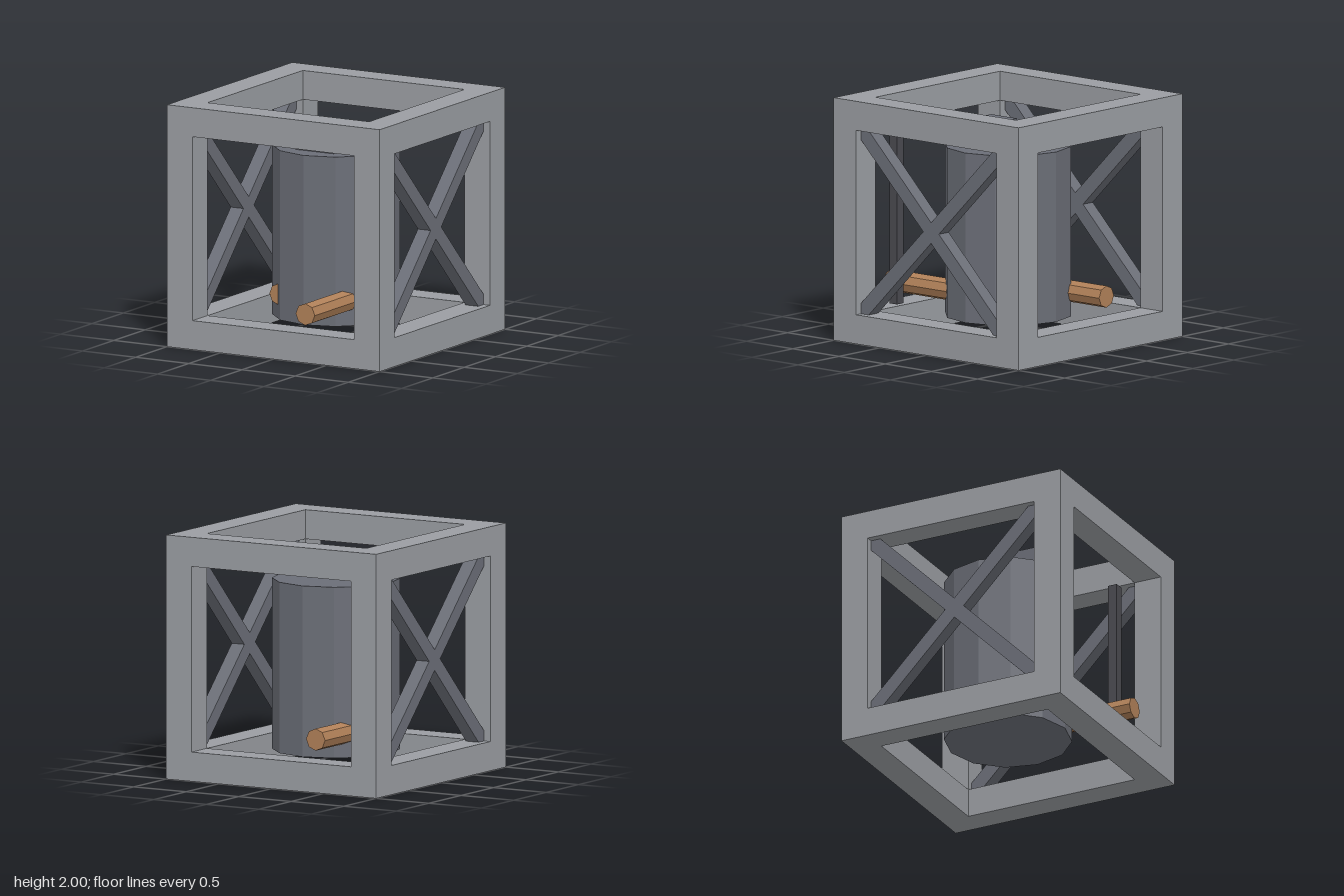
import * as THREE from 'three';

const paint = (color) => new THREE.MeshStandardMaterial({ color, flatShading: true });

export function createModel() {
  const model = new THREE.Group();
  const frameMat = paint(0x9a9da2);
  const steelMat = paint(0x6b6e77);
  const darkMat = paint(0x4a4a50);
  const copperMat = paint(0xb08058);
  const cyanMat = paint(0x6cc8d0);

  function add(name, geometry, material, x, y, z, parent = model) {
    const mesh = new THREE.Mesh(geometry, material);
    mesh.name = name;
    mesh.position.set(x, y, z);
    parent.add(mesh);
    return mesh;
  }

  // Open cube frame: four posts, with rails fitted between them at top and bottom
  const t = 0.24, c = 1 - t / 2, span = 2 - 2 * t;
  const frame = new THREE.Group();
  frame.name = 'frame';
  model.add(frame);
  for (const a of [-c, c]) {
    for (const b of [-c, c]) {
      add('framePost', new THREE.BoxGeometry(t, 2, t), frameMat, a, 1, b, frame);
      add('frameRailAcross', new THREE.BoxGeometry(span, t, t), frameMat, 0, 1 + a, b, frame);
      add('frameRailSide', new THREE.BoxGeometry(t, t, span), frameMat, b, 1 + a, 0, frame);
    }
  }

  // Crossed braces on the left and right sides, ends buried in the frame
  for (const x of [-c, c]) {
    for (const turn of [-1, 1]) {
      const brace = add('crossBrace', new THREE.BoxGeometry(0.12, 0.12, 2.2), steelMat, x, 1, 0);
      brace.rotation.x = turn * Math.PI / 4;
    }
  }

  // Twelve-sided tank
  add('tank', new THREE.CylinderGeometry(0.52, 0.52, 1.4, 12), steelMat, 0, 0.9, 0);

  // Control box on the lid, with a small light strip behind it
  add('controlBox', new THREE.BoxGeometry(0.36, 0.18, 0.28), steelMat, 0, 1.69, 0.2);
  add('lightStrip', new THREE.BoxGeometry(0.16, 0.08, 0.04), cyanMat, 0, 1.57, 0.055);

  // Pipes: one runs out of the front, the other out of the back
  for (const [name, x, z] of [['frontPipe', 0.3, 0.4], ['backPipe', -0.3, -0.2]]) {
    const pipe = add(name, new THREE.CylinderGeometry(0.09, 0.09, 1.2, 8), copperMat, x, 0.4, z);
    pipe.rotation.x = Math.PI / 2;
  }

  // Thin upright rod in the front left corner
  add('uprightRod', new THREE.BoxGeometry(0.08, 1.4, 0.08), darkMat, 0.64, 1, 0.64);

  return model;
}
